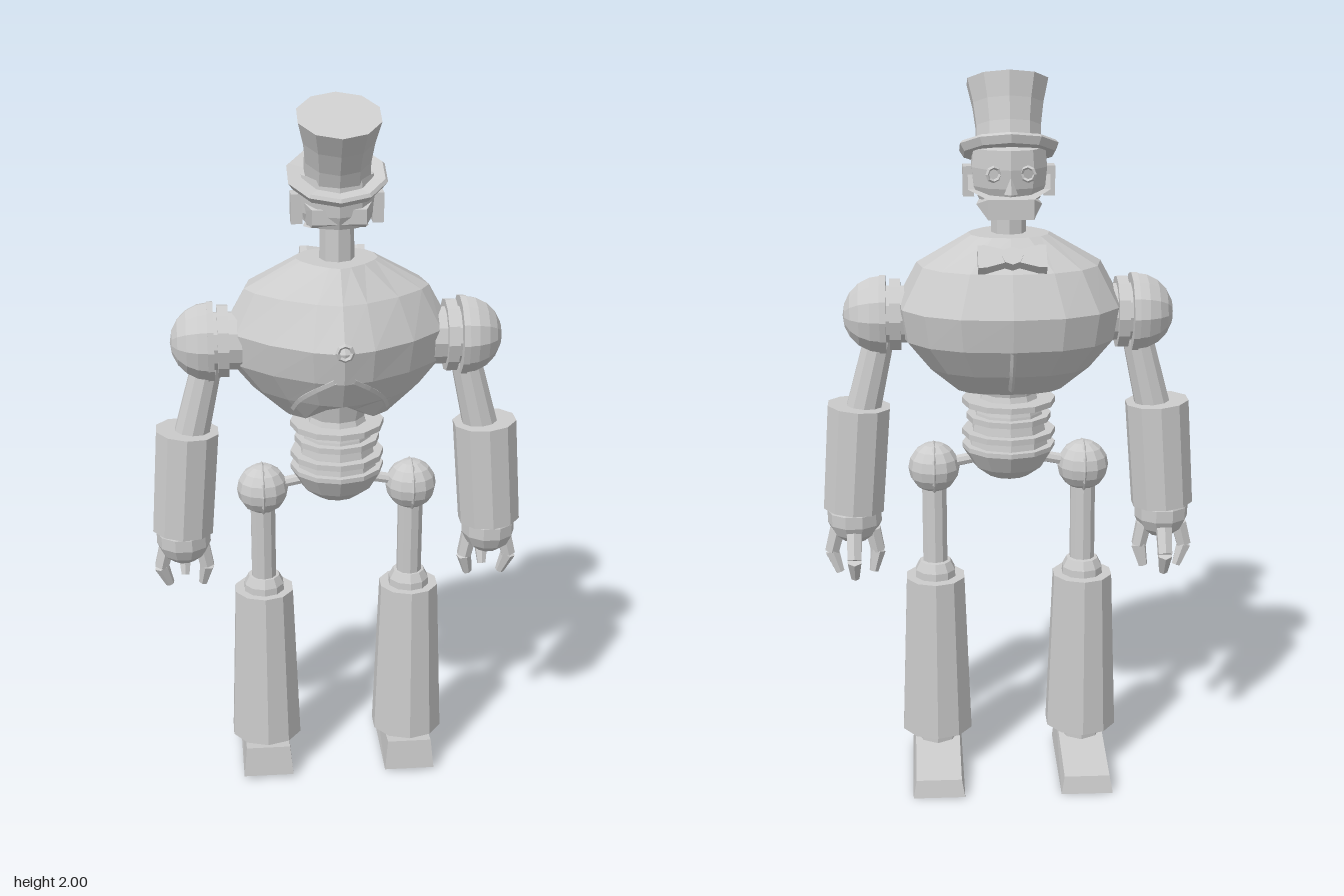
import * as THREE from 'three';

const mat = new THREE.MeshStandardMaterial({ color: 0xcccccc, flatShading: true, side: THREE.DoubleSide });
const V = (x, y, z) => new THREE.Vector3(x, y, z);
const UP = V(0, 1, 0);

function add(parent, name, geometry, x = 0, y = 0, z = 0) {
  const mesh = new THREE.Mesh(geometry, mat);
  mesh.name = name;
  mesh.position.set(x, y, z);
  parent.add(mesh);
  return mesh;
}

// Straight tapered rod from a to b
function limb(parent, name, a, b, ra, rb = ra, sides = 8) {
  const dir = b.clone().sub(a);
  const mesh = add(parent, name, new THREE.CylinderGeometry(rb, ra, dir.length(), sides));
  mesh.position.copy(a).lerp(b, 0.5);
  mesh.quaternion.setFromUnitVectors(UP, dir.normalize());
  return mesh;
}

const lathe = (pts, sides) => new THREE.LatheGeometry(pts.map(p => new THREE.Vector2(...p)), sides);

// Closed skin over rings listed from bottom to top
function loft(rings) {
  const n = rings[0].length, pos = [], index = [];
  rings.forEach(r => r.forEach(p => pos.push(p.x, p.y, p.z)));
  const centre = ring => {
    const c = V(0, 0, 0);
    ring.forEach(p => c.addScaledVector(p, 1 / n));
    pos.push(c.x, c.y, c.z);
    return pos.length / 3 - 1;
  };
  const lo = centre(rings[0]), hi = centre(rings.at(-1)), last = (rings.length - 1) * n;
  for (let j = 0; j < n; j++) {
    const k = (j + 1) % n;
    for (let i = 0; i < last; i += n) index.push(i + j, i + n + j, i + k, i + k, i + n + j, i + n + k);
    index.push(lo, j, k, hi, last + k, last + j);
  }
  const g = new THREE.BufferGeometry();
  g.setAttribute('position', new THREE.Float32BufferAttribute(pos, 3));
  g.setIndex(index);
  g.computeVertexNormals();
  return g;
}

// Torso levels: height, half width, depth towards -z, depth towards +z
const LEVELS = [
  [1.14, 0.15, 0.10, 0.14], [1.21, 0.23, 0.18, 0.18], [1.29, 0.295, 0.23, 0.23],
  [1.38, 0.31, 0.245, 0.25], [1.49, 0.25, 0.19, 0.18], [1.57, 0.11, 0.10, 0.11],
];
function torsoPoint(a, y) {
  let i = 0;
  while (i < LEVELS.length - 2 && y > LEVELS[i + 1][0]) i++;
  const t = (y - LEVELS[i][0]) / (LEVELS[i + 1][0] - LEVELS[i][0]);
  const [, w, f, b] = LEVELS[i].map((v, k) => THREE.MathUtils.lerp(v, LEVELS[i + 1][k], t));
  const c = Math.cos(a), s = Math.sin(a), e = s > 0 ? 1.4 : 0.85;
  return V(Math.sign(c) * w * Math.abs(c) ** e, y, Math.sign(s) * (s > 0 ? b : f) * Math.abs(s) ** e);
}

function torso(g) {
  const rings = LEVELS.map(([y], i) => Array.from({ length: 16 }, (_, j) => {
    const p = torsoPoint(j * Math.PI / 8, y);
    // The hem arches up in the middle of the +z side
    if (i === 0 && p.z > 0) p.y += 0.07 * Math.max(0, 1 - Math.abs(p.x) / 0.1);
    return p;
  }));
  add(g, 'torso', loft(rings));

  // Trim that follows the surface
  const trim = (name, pts) => add(g, name, new THREE.TubeGeometry(
    new THREE.CatmullRomCurve3(pts.map(([a, y]) => torsoPoint(a, y))), 10, 0.008, 4));
  for (const s of [-1, 1]) {
    trim('hemTrim', [0.75, 0.95, 1.15, 1.4].map((d, i) => [Math.PI / 2 + s * (1.5708 - d), 1.18 + i * 0.04]));
  }
  trim('frontSeam', [[-Math.PI / 2, 1.16], [-Math.PI / 2, 1.22], [-Math.PI / 2, 1.29]]);
  add(g, 'backSocket', new THREE.TorusGeometry(0.02, 0.006, 4, 8), 0, 1.385, 0.247);

  // Bow tie lying on the upper chest
  const bow = new THREE.Shape();
  [[-0.09, -0.035], [-0.07, -0.035], [0, -0.014], [0.07, -0.035], [0.09, -0.035],
    [0.09, 0.035], [0.07, 0.035], [0, 0.014], [-0.07, 0.035], [-0.09, 0.035]]
    .forEach(([x, y], i) => i ? bow.lineTo(x, y) : bow.moveTo(x, y));
  const tie = new THREE.Group();
  tie.name = 'bowTie';
  tie.position.set(0, 1.52, -0.16);
  tie.rotation.x = Math.PI / 4;
  g.add(tie);
  add(tie, 'bow', new THREE.ExtrudeGeometry(bow, { depth: 0.04, bevelEnabled: false }), 0, 0, -0.025);
  add(tie, 'knot', new THREE.CylinderGeometry(0.028, 0.028, 0.055, 8)).rotation.x = Math.PI / 2;
}

function head(g) {
  add(g, 'neck', new THREE.CylinderGeometry(0.045, 0.048, 0.2, 8), 0, 1.62, 0);
  add(g, 'skull', lathe([[0, 1.665], [0.085, 1.665], [0.1, 1.7], [0.105, 1.75], [0.1, 1.8], [0, 1.82]], 10), 0, 0, -0.01);

  // Jaw: side profile (-z, y) given thickness across x
  const jaw = new THREE.Shape();
  [[-0.08, 1.72], [-0.08, 1.68], [-0.05, 1.665], [0.03, 1.65], [0.12, 1.622], [0.12, 1.675], [0.04, 1.69], [0.02, 1.74]]
    .forEach(([x, y], i) => i ? jaw.lineTo(x, y) : jaw.moveTo(x, y));
  const jg = new THREE.ExtrudeGeometry(jaw, { depth: 0.22, bevelEnabled: false });
  jg.translate(0, 0, -0.11).rotateY(Math.PI / 2);
  const p = jg.attributes.position;
  // Narrow the jaw towards the chin, the underside and the nape
  for (let i = 0; i < p.count; i++) {
    const z = p.getZ(i), y = p.getY(i);
    p.setX(i, p.getX(i) * (z < -0.1 ? 0.55 : z > 0.04 ? 0.65 : y < 1.66 ? 0.8 : 1));
  }
  add(g, 'jaw', jg);

  for (const s of [-1, 1]) {
    add(g, 'ear', new THREE.BoxGeometry(0.03, 0.08, 0.05), s * 0.108, 1.71, 0);
    add(g, 'eye', new THREE.TorusGeometry(0.018, 0.005, 4, 8), s * 0.045, 1.74, -0.107).rotation.y = s * 0.3;
  }
  add(g, 'nose', new THREE.ConeGeometry(0.018, 0.045, 4), 0, 1.71, -0.112);

  // Flared top hat, tipped back
  add(g, 'topHat', lathe([[0, -0.012], [0.125, -0.012], [0.137, 0.008], [0.13, 0.016], [0.09, 0.01], [0.09, 0.06],
    [0.098, 0.12], [0.113, 0.184], [0, 0.184]], 10), 0, 1.79, 0).rotation.x = 0.36;
}

function waist(g) {
  add(g, 'waistCone', new THREE.CylinderGeometry(0.1, 0.075, 0.1, 10), 0, 1.165, 0);
  add(g, 'waistCore', lathe([[0.115, 0.96], [0.105, 1.02], [0.095, 1.07], [0.075, 1.13]], 10));
  for (const [y, r] of [[1.1, 0.13], [1.055, 0.118], [1.01, 0.13]]) {
    add(g, 'waistRing', new THREE.CylinderGeometry(r, r, 0.016, 12), 0, y, 0);
  }
  add(g, 'pelvis', lathe([[0, 0.88], [0.06, 0.885], [0.1, 0.915], [0.13, 0.965], [0.13, 0.978], [0, 0.978]], 12));
}

function arm(g, s) {
  const at = (x, y, z = 0) => V(s * x, y, z);
  limb(g, 'shoulderAxle', at(0.26, 1.345), at(0.345, 1.345), 0.08, 0.08, 12);
  limb(g, 'shoulderDisc', at(0.295, 1.345), at(0.325, 1.345), 0.1, 0.1, 12);
  limb(g, 'shoulderRim', at(0.335, 1.345), at(0.352, 1.345), 0.11, 0.11, 12);
  add(g, 'shoulderDome', new THREE.SphereGeometry(0.108, 12, 5, 0, Math.PI * 2, 0, Math.PI / 2), s * 0.345, 1.345, 0)
    .rotation.z = -s * Math.PI / 2;
  limb(g, 'upperArm', at(0.35, 1.3), at(0.405, 1.07), 0.042, 0.05, 10);
  limb(g, 'forearm', at(0.437, 0.79), at(0.415, 1.09), 0.088, 0.09, 10);
  add(g, 'wrist', new THREE.SphereGeometry(0.078, 10, 7), s * 0.436, 0.765, 0);

  // Three bent claws
  const claws = [[[0.385, 0], [0.372, 0], [0.385, -0.01]], [[0.485, 0], [0.502, 0], [0.48, -0.01]],
    [[0.436, -0.05], [0.436, -0.085], [0.436, -0.06]]];
  for (const c of claws) {
    const [a, b, d] = c.map(([x, z], i) => at(x, [0.73, 0.665, 0.605][i], z - 0.015));
    limb(g, 'clawBase', a, b, 0.024, 0.022, 6);
    limb(g, 'clawTip', b, d, 0.022, 0.013, 6);
  }
}

function leg(g, s) {
  const x = s * 0.21;
  limb(g, 'hipRod', V(s * 0.08, 0.935, 0), V(x, 0.91, 0), 0.016);
  add(g, 'hipBall', new THREE.SphereGeometry(0.072, 12, 8), x, 0.905, 0);
  add(g, 'hipBand', new THREE.TorusGeometry(0.071, 0.005, 4, 12), x, 0.905, 0).rotation.y = Math.PI / 2;
  limb(g, 'thigh', V(x, 0.58, -0.01), V(x, 0.88, 0), 0.036, 0.036, 10);
  add(g, 'knee', lathe([[0.06, 0.57], [0.058, 0.605], [0.045, 0.63], [0, 0.635]], 10), x, 0, -0.012);
  limb(g, 'shin', V(x, 0.115, -0.012), V(x, 0.585, -0.015), 0.104, 0.086, 10);
  add(g, 'ankle', new THREE.CylinderGeometry(0.06, 0.06, 0.06, 8), x, 0.105, -0.01);

  // Wedge foot with its toe towards -z
  const ring = (w, zb, yb, zf, yf) => [V(x + w, yb, zb), V(x - w, yb, zb), V(x - w, yf, zf), V(x + w, yf, zf)].reverse();
  add(g, 'foot', loft([ring(0.073, 0.09, 0.01, -0.25, 0), ring(0.064, 0.08, 0.1, -0.24, 0.05)]));
}

export function createModel() {
  const g = new THREE.Group();
  g.name = 'robot';
  torso(g);
  head(g);
  waist(g);
  for (const s of [-1, 1]) {
    const armGroup = new THREE.Group(), legGroup = new THREE.Group();
    armGroup.name = s > 0 ? 'leftArm' : 'rightArm';
    legGroup.name = s > 0 ? 'leftLeg' : 'rightLeg';
    arm(armGroup, s);
    leg(legGroup, s);
    g.add(armGroup, legGroup);
  }
  return g;
}
